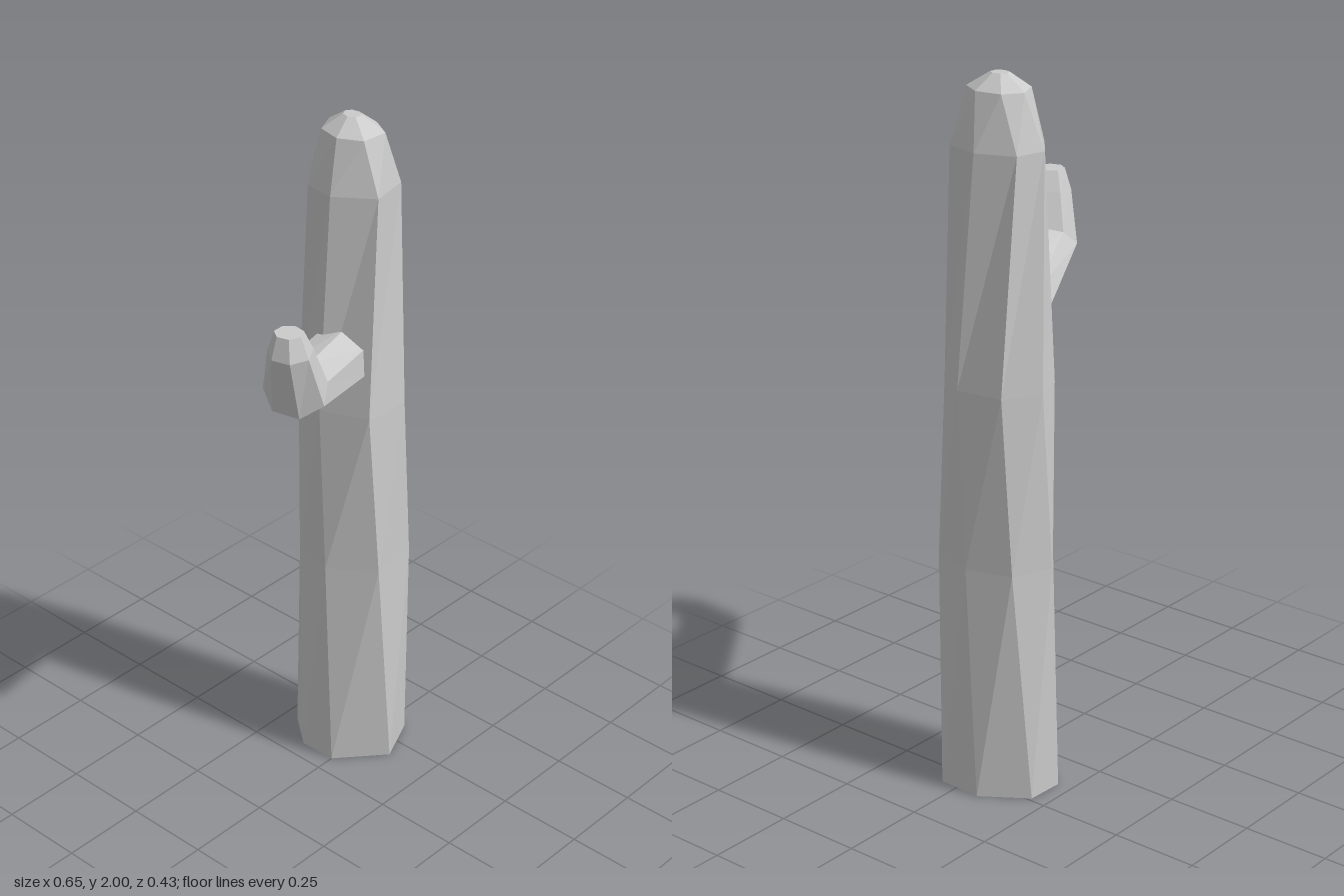
import * as THREE from 'three';

const SIDES = 7;

// Skin a stack of rings (each SIDES points, counterclockwise about the path) and close both ends
function loft(name, rings) {
  const pos = [];
  const tri = (a, b, c) => pos.push(...a.toArray(), ...b.toArray(), ...c.toArray());
  for (let r = 0; r < rings.length - 1; r++) {
    for (let i = 0; i < SIDES; i++) {
      const j = (i + 1) % SIDES;
      const [a, b, c, d] = [rings[r][i], rings[r][j], rings[r + 1][j], rings[r + 1][i]];
      tri(a, b, c);
      tri(a, c, d);
    }
  }
  const first = rings[0], last = rings[rings.length - 1];
  for (let i = 1; i < SIDES - 1; i++) {
    tri(first[0], first[i + 1], first[i]);
    tri(last[0], last[i], last[i + 1]);
  }
  const geometry = new THREE.BufferGeometry();
  geometry.setAttribute('position', new THREE.Float32BufferAttribute(pos, 3));
  geometry.computeVertexNormals();
  const mesh = new THREE.Mesh(geometry, new THREE.MeshStandardMaterial({ color: 0xcccccc, flatShading: true }));
  mesh.name = name;
  return mesh;
}

// Trunk: uneven, slowly twisting seven-sided sections, as height and [x, z] corners
function createTrunk() {
  const sections = [
    [0, [[0.187, 0.113], [0.32, 0.055], [0.325, -0.074], [0.24, -0.2], [0.13, -0.205], [0.055, -0.11], [0.057, 0]]],
    [0.67, [[0.135, 0.105], [0.282, 0.09], [0.32, -0.037], [0.283, -0.168], [0.172, -0.215], [0.075, -0.14], [0.05, -0.02]]],
    [1.17, [[0.11, 0.085], [0.246, 0.093], [0.315, -0.01], [0.295, -0.143], [0.2, -0.205], [0.095, -0.16], [0.058, -0.05]]],
    [1.81, [[0.15, 0.072], [0.267, 0.048], [0.294, -0.055], [0.25, -0.16], [0.165, -0.18], [0.09, -0.12], [0.077, -0.03]]],
    [1.96, [[0.145, 0.025], [0.222, 0.03], [0.257, -0.03], [0.245, -0.105], [0.195, -0.14], [0.13, -0.11], [0.112, -0.04]]],
  ];
  const rings = sections.map(([y, pts]) => pts.map(([x, z]) => new THREE.Vector3(x, y, z)));
  // Small flat crown shrunk from the last section
  const centre = new THREE.Vector3(0.187, 1.96, -0.054);
  rings.push(rings[4].map((p) => {
    const q = p.clone().lerp(centre, 0.7);
    q.y = 2;
    return q;
  }));
  return loft('trunk', rings);
}

// Arm: leaves the trunk sideways, then bends upward at the elbow
function createArm() {
  const heading = new THREE.Vector3(-0.907, 0, 0.42);
  const across = new THREE.Vector3(0.42, 0, 0.907);
  const up = new THREE.Vector3(0, 1, 0);
  // centre, tilt of the section (0 = upright, PI/2 = level), radius across, radius in the bend plane
  const sections = [
    [[0.1, 1.325, -0.02], 0.28, 0.088, 0.088],
    [[-0.228, 1.425, 0.132], 0.8, 0.088, 0.075],
    [[-0.267, 1.562, 0.15], 1.5, 0.06, 0.06],
    [[-0.272, 1.62, 0.15], Math.PI / 2, 0.039, 0.037],
  ];
  const phase = THREE.MathUtils.degToRad(81);
  const rings = sections.map(([c, tilt, ra, rb]) => {
    const inner = up.clone().multiplyScalar(Math.cos(tilt)).addScaledVector(heading, -Math.sin(tilt));
    return Array.from({ length: SIDES }, (_, i) => {
      const t = phase + (i / SIDES) * Math.PI * 2;
      return new THREE.Vector3(...c)
        .addScaledVector(across, ra * Math.cos(t))
        .addScaledVector(inner, rb * Math.sin(t));
    });
  });
  return loft('arm', rings);
}

export function createModel() {
  const group = new THREE.Group();
  group.name = 'cactus';
  group.add(createTrunk(), createArm());
  return group;
}
